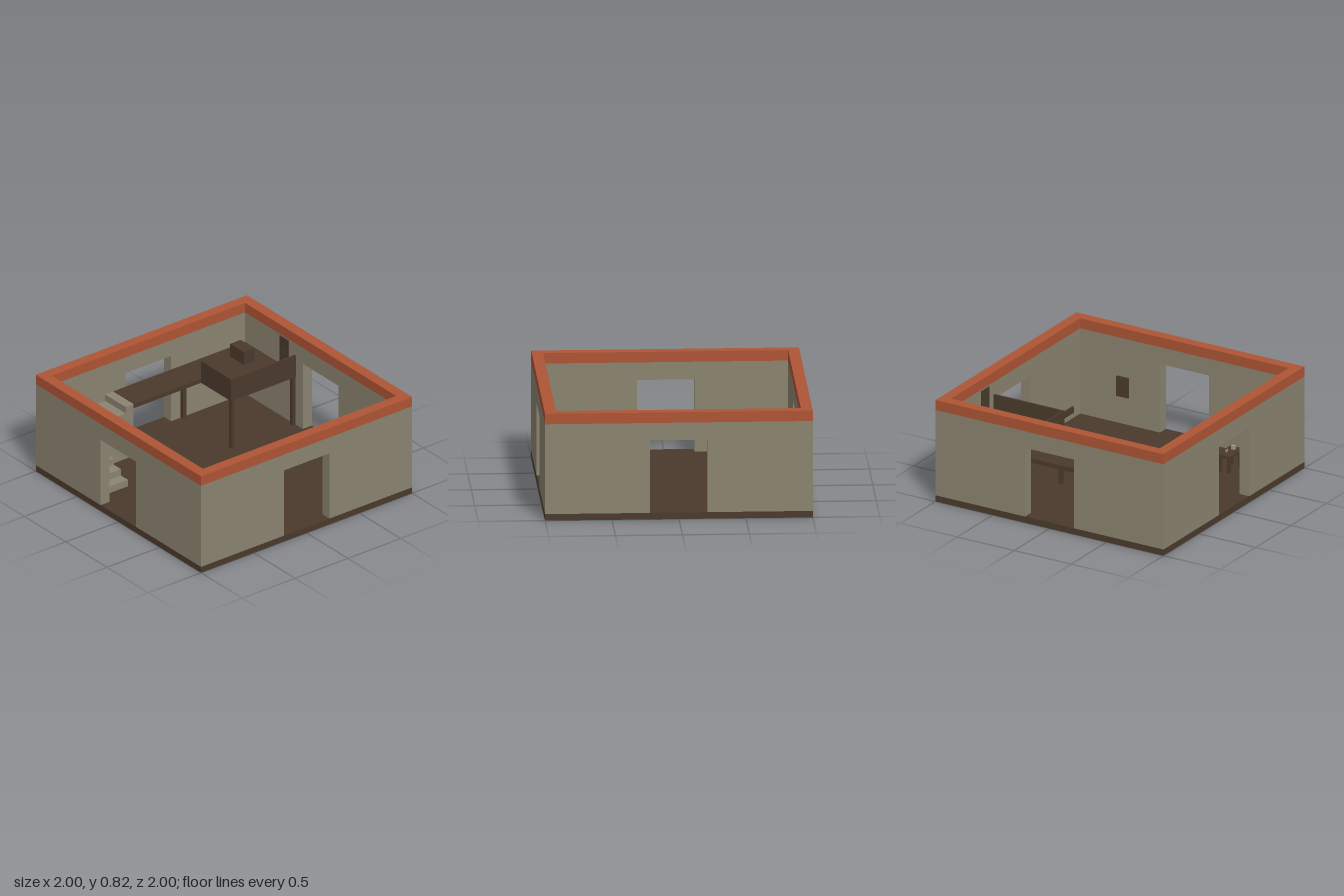
import * as THREE from 'three';

const WALL = 0.085, FLOOR = 0.05, WALL_TOP = 0.74, TOP = 0.82, INNER = 1 - WALL;
const DECK = 0.49, DECK_UNDER = 0.455;

export function createModel() {
  const model = new THREE.Group();
  model.name = 'roomWithLoft';
  const material = (name, color) => {
    const m = new THREE.MeshStandardMaterial({ color });
    m.name = name;
    return m;
  };
  const wood = material('dark wood', 0x4b3a2c);
  const plaster = material('beige plaster', 0x8b8470);
  const trim = material('terracotta trim', 0xae5435);
  const pewter = material('pale pewter', 0x9c9a92);

  const add = (name, geometry, mat, parent = model) => {
    const mesh = new THREE.Mesh(geometry, mat);
    mesh.name = name;
    parent.add(mesh);
    return mesh;
  };
  // Box given by its lower and upper limits on each axis
  const box = (name, mat, x0, x1, y0, y1, z0, z1, parent = model) => {
    const mesh = add(name, new THREE.BoxGeometry(x1 - x0, y1 - y0, z1 - z0), mat, parent);
    mesh.position.set((x0 + x1) / 2, (y0 + y1) / 2, (z0 + z1) / 2);
    return mesh;
  };
  const group = (name) => {
    const g = new THREE.Group();
    g.name = name;
    model.add(g);
    return g;
  };

  box('floorSlab', wood, -1, 1, 0, FLOOR, -1, 1);

  // Four walls, each with a doorway, capped by a coloured band
  ['front', 'leftSide', 'back', 'rightSide'].forEach((side, i) => {
    const h = i % 2 ? INNER : 1, d = 0.215, lintel = 0.605;
    const outline = new THREE.Shape([
      [-h, FLOOR], [-d, FLOOR], [-d, lintel], [d, lintel], [d, FLOOR],
      [h, FLOOR], [h, WALL_TOP], [-h, WALL_TOP],
    ].map(([x, y]) => new THREE.Vector2(x, y)));
    const g = group(side + 'Wall');
    const wall = add(side + 'Plaster',
      new THREE.ExtrudeGeometry(outline, { depth: WALL, bevelEnabled: false }), plaster, g);
    wall.position.z = INNER;
    box(side + 'Trim', trim, -h, h, WALL_TOP, TOP, INNER, 1, g);
    g.rotation.y = i * Math.PI / 2;
  });

  // Loft deck with a walkway leading to the stairs
  box('loftDeck', wood, -INNER, -0.3, DECK_UNDER, DECK, -INNER, -0.303);
  box('walkway', wood, -INNER, -0.665, DECK_UNDER, DECK, -0.303, 0.335);
  box('loftSideRail', wood, -0.314, -0.3, DECK, 0.64, -INNER, -0.303);
  box('loftFrontRail', wood, -0.665, -0.314, DECK, 0.64, -0.317, -0.303);
  for (const x of [-0.9, -0.317])
    for (const z of [-0.9, -0.32])
      box('loftPost', wood, x - 0.015, x + 0.015, FLOOR, DECK_UNDER, z - 0.015, z + 0.015);

  // Solid corner stairs: three steps, a landing, then four steps
  const stairs = group('stairs');
  const rise = (DECK - FLOOR) / 8;
  const stepX = [-0.32, -0.405, -0.49, -0.58];
  const stepZ = [0.66, 0.575, 0.5, 0.41, 0.335];
  for (let i = 0; i < 3; i++)
    box('lowerStep', plaster, stepX[i + 1], stepX[i], FLOOR, FLOOR + rise * (i + 1), 0.66, INNER, stairs);
  box('landing', plaster, -INNER, -0.58, FLOOR, FLOOR + rise * 4, 0.66, INNER, stairs);
  for (let i = 0; i < 4; i++)
    box('upperStep', plaster, -INNER, -0.665, FLOOR, FLOOR + rise * (i + 5), stepZ[i + 1], stepZ[i], stairs);

  // Loft furnishings
  box('chest', wood, -0.8, -0.635, DECK, 0.6, -0.785, -0.685);
  box('loftWallPanel', wood, -0.49, -0.385, DECK, 0.73, -INNER, -0.907);
  box('panelKnob', wood, -0.447, -0.427, 0.6, 0.62, -0.907, -0.9);

  // Table and stool share one build: a top on four legs
  const legged = (name, x0, x1, z0, z1, top, thick, leg) => {
    const g = group(name);
    box(name + 'Top', wood, x0, x1, top - thick, top, z0, z1, g);
    for (const x of [x0 + 0.008, x1 - 0.008 - leg])
      for (const z of [z0 + 0.008, z1 - 0.008 - leg])
        box(name + 'Leg', wood, x, x + leg, FLOOR, top - thick, z, z + leg, g);
  };
  legged('table', 0.5, 0.695, 0.54, 0.655, 0.19, 0.02, 0.022);
  legged('stool', 0.565, 0.63, 0.45, 0.513, 0.135, 0.02, 0.016);

  // Tableware
  box('cup', pewter, 0.632, 0.658, 0.19, 0.22, 0.583, 0.609);
  for (const x of [0.567, 0.583])
    box('cutlery', pewter, x - 0.004, x + 0.004, 0.19, 0.21, 0.576, 0.586);

  // Peg board on the back wall and a plaque on the side wall
  box('pegBoard', wood, 0.395, 0.8, 0.1, 0.15, -INNER, -0.9);
  for (const x of [0.445, 0.545, 0.645, 0.745])
    box('peg', wood, x - 0.007, x + 0.007, 0.118, 0.132, -0.9, -0.888);
  box('wallPlaque', wood, 0.9, INNER, 0.27, 0.43, -0.59, -0.485);

  return model;
}
